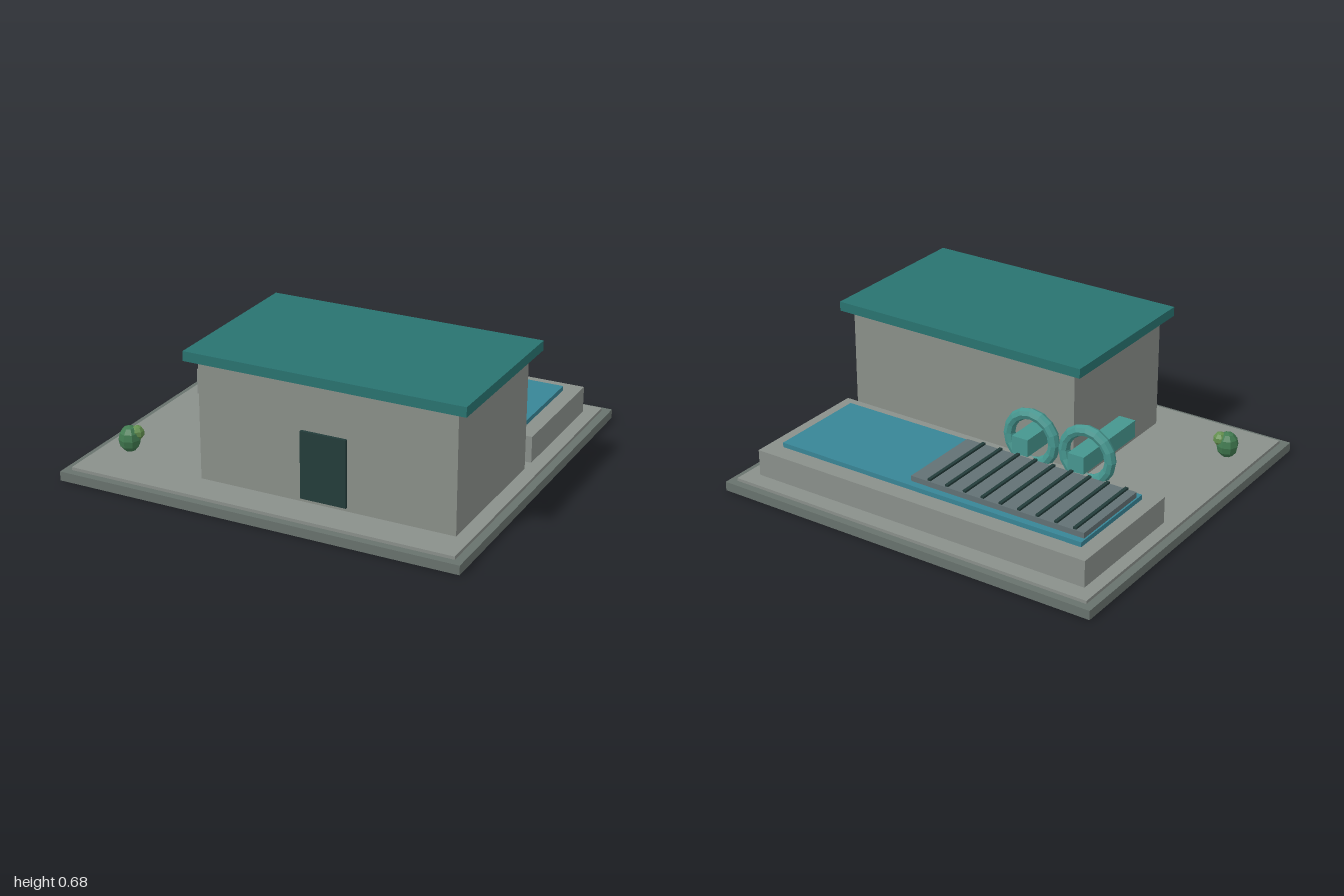
import * as THREE from 'three';

const mat = (color) => new THREE.MeshStandardMaterial({ color, flatShading: true });

export function createModel() {
  const model = new THREE.Group();
  const stone = mat(0x8a908b), darkStone = mat(0x68726d), wall = mat(0x8a8f89);
  const roofTeal = mat(0x297370), pipeTeal = mat(0x46968f), water = mat(0x388596);
  const dark = mat(0x233c3a), grate = mat(0x627174);
  const leaf = mat(0x417a50), leafLight = mat(0x64904f);

  const add = (name, geometry, material, x, y, z) => {
    const mesh = new THREE.Mesh(geometry, material);
    mesh.name = name;
    mesh.position.set(x, y, z);
    model.add(mesh);
    return mesh;
  };
  // Box given by its extents on each axis
  const box = (name, material, [x0, x1], [y0, y1], [z0, z1]) =>
    add(name, new THREE.BoxGeometry(x1 - x0, y1 - y0, z1 - z0), material,
      (x0 + x1) / 2, (y0 + y1) / 2, (z0 + z1) / 2);

  // Stepped ground slab
  box('baseSlab', darkStone, [-1, 1], [0, 0.045], [-0.915, 0.915]);
  box('groundSlab', stone, [-0.96, 0.96], [0.045, 0.06], [-0.877, 0.877]);

  // Building
  box('buildingWalls', wall, [-0.37, 0.89], [0.06, 0.64], [-0.055, 0.708]);
  box('roof', roofTeal, [-0.425, 0.94], [0.635, 0.682], [-0.1, 0.745]);
  box('door', dark, [0.145, 0.37], [0.08, 0.405], [0.7, 0.723]);

  // Basin with water and a slatted screen
  box('basin', stone, [-0.897, 0.893], [0.06, 0.19], [-0.793, -0.127]);
  box('waterSurface', water, [-0.823, 0.818], [0.185, 0.213], [-0.705, -0.2]);
  box('screenPlate', grate, [-0.815, 0.1], [0.21, 0.24], [-0.67, -0.236]);
  for (let i = 0; i < 9; i++) {
    const x = -0.764 + i * 0.096;
    box('screenBar', dark, [x - 0.008, x + 0.008], [0.22, 0.25], [-0.665, -0.236]);
  }

  // Square pipes, each with a ring around it
  for (const x of [-0.493, -0.192]) {
    box('pipe', pipeTeal, [x - 0.043, x + 0.043], [0.241, 0.327], [-0.233, 0.215]);
    add('pipeRing', new THREE.TorusGeometry(0.123, 0.028, 8, 16), pipeTeal, x, 0.285, -0.134);
  }

  // Shrub of two low-poly balls
  const shrub = add('shrub', new THREE.SphereGeometry(0.054, 8, 6), leaf, -0.823, 0.121, 0.598);
  shrub.scale.y = 1.2;
  const tuft = add('shrubTuft', new THREE.SphereGeometry(0.034, 7, 5), leafLight, -0.792, 0.15, 0.58);
  tuft.scale.y = 1.05;

  return model;
}
